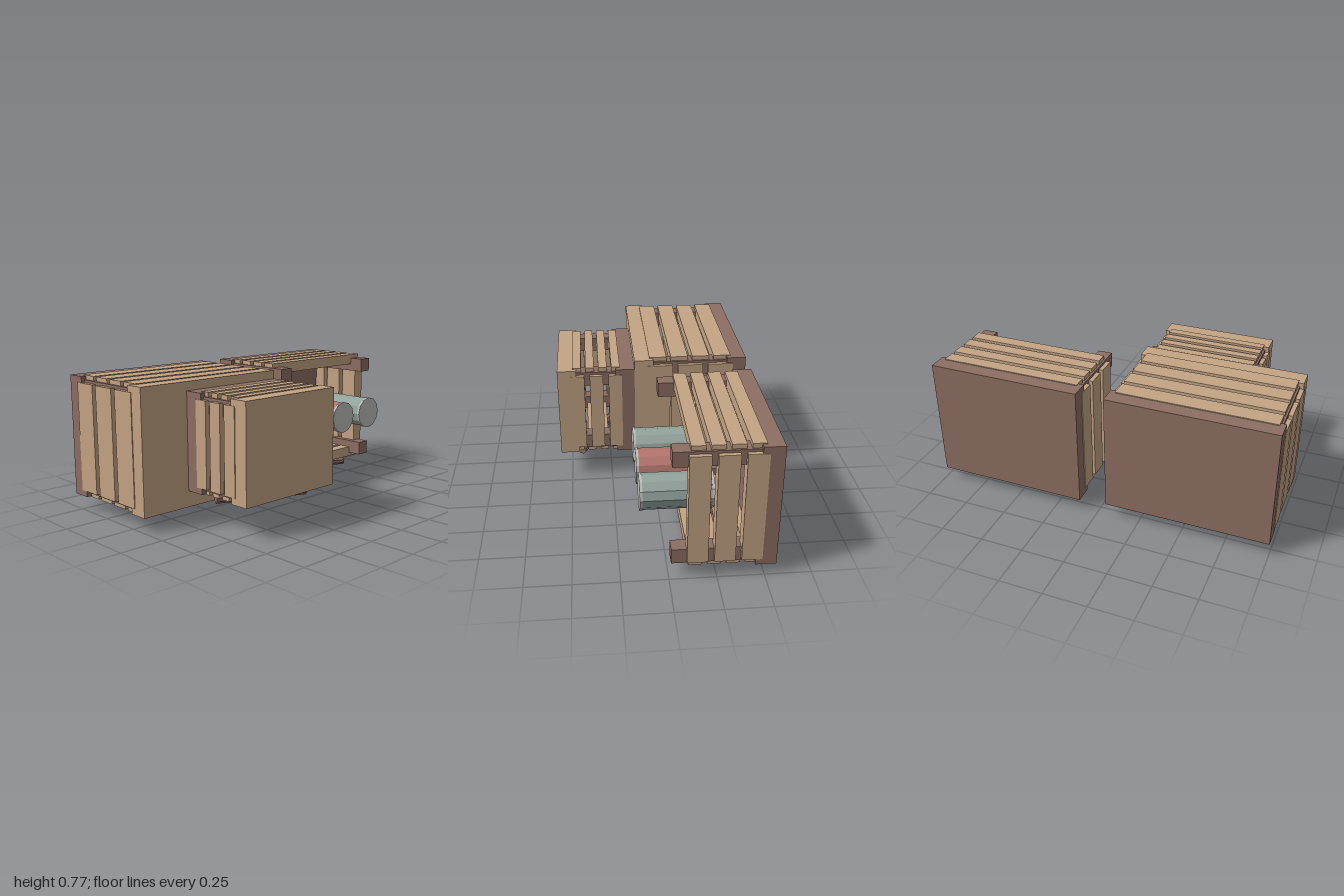
import * as THREE from 'three';

const mat = (name, color) => {
  const m = new THREE.MeshStandardMaterial({ color });
  m.name = name;
  return m;
};

export function createModel() {
  const lightWood = mat('light wood', 0xc4a484);
  const darkWood = mat('dark wood', 0x8d6e63);
  const greenPaint = mat('grey green paint', 0x94a39d);
  const redPaint = mat('faded red paint', 0xb5766d);
  const metal = mat('can metal', 0xbdbfbb);
  for (const m of [greenPaint, redPaint, metal, darkWood]) m.flatShading = true;

  const model = new THREE.Group();
  model.name = 'crates';

  const add = (parent, name, geometry, material, x, y, z) => {
    const mesh = new THREE.Mesh(geometry, material);
    mesh.name = name;
    mesh.position.set(x, y, z);
    parent.add(mesh);
    return mesh;
  };

  // Box given by its centre in x and y and its range in z
  const slab = (parent, name, material, x, y, w, h, z0, z1) =>
    add(parent, name, new THREE.BoxGeometry(w, h, z1 - z0), material, x, y, (z0 + z1) / 2);

  // Evenly spaced slat ranges along z
  const ranges = (z0, z1, count, gap) => {
    const w = (z1 - z0 - gap * (count - 1)) / count;
    return Array.from({ length: count }, (_, i) => [z0 + i * (w + gap), z0 + i * (w + gap) + w]);
  };

  // Slatted crate lying on its side, base board at the back
  const crate = (name, cx, cy, W, H, zBack, zFront, closed) => {
    const g = new THREE.Group();
    g.name = name;
    g.position.set(cx, cy, 0);
    model.add(g);
    const board = 0.112, post = 0.085, inset = 0.02;
    slab(g, 'baseBoard', darkWood, 0, 0, W, H, zBack, zBack + board);
    if (closed) slab(g, 'lid', lightWood, 0, 0, W, H, zFront - board, zFront);

    // Corner posts, stopping inside the lid when there is one
    const postEnd = closed ? zFront - 0.02 : zFront;
    for (const sx of [-1, 1]) for (const sy of [-1, 1]) {
      slab(g, 'cornerPost', darkWood, sx * (W / 2 - inset - post / 2), sy * (H / 2 - inset - post / 2),
        post, post, zBack + 0.05, postEnd);
    }

    // Four slats on top and bottom, three on each side
    const z0 = zBack + 0.076, z1 = zFront - 0.08;
    for (const s of [-1, 1]) {
      for (const [a, b] of ranges(z0 + 0.01, z1 - 0.01, 4, 0.026)) {
        slab(g, s > 0 ? 'topSlat' : 'bottomSlat', lightWood, 0, s * (H / 2 + 0.005 - 0.0325), W - 0.062, 0.065, a, b);
      }
      for (const [a, b] of ranges(z0, z1, 3, 0.032)) {
        slab(g, s > 0 ? 'leftSlat' : 'rightSlat', lightWood, s * (W / 2 + 0.004 - 0.0375), 0, 0.075, H - 0.07, a, b);
      }
    }
  };

  crate('largeCrate', -0.5275, 0.427, 0.945, 0.688, -0.56, 0.103, true);
  crate('openCrate', 0.551, 0.417, 0.89, 0.702, -0.56, -0.012, false);
  crate('smallCrate', -0.377, 0.447, 0.655, 0.547, 0.103, 0.56, true);

  // Round stick lying under each crate
  const stick = (x0, z0, x1, z1, y) => {
    const a = new THREE.Vector3(x0, y, z0), d = new THREE.Vector3(x1, y, z1).sub(a);
    const mesh = add(model, 'stick', new THREE.CylinderGeometry(0.027, 0.027, d.length(), 8), darkWood,
      (x0 + x1) / 2, y, (z0 + z1) / 2);
    mesh.quaternion.setFromUnitVectors(new THREE.Vector3(0, 1, 0), d.normalize());
  };
  stick(-0.868, -0.44, -0.193, -0.025, 0.05);
  stick(0.232, -0.44, 0.872, -0.14, 0.027);
  stick(-0.615, 0.22, -0.137, 0.435, 0.135);

  // Cans standing in the open crate
  const can = (x, paint) => {
    const g = new THREE.Group();
    g.name = 'can';
    g.position.set(x, 0.415, 0);
    g.rotation.x = Math.PI / 2;
    model.add(g);
    const part = (name, material, r, z0, z1) =>
      add(g, name, new THREE.CylinderGeometry(r, r, z1 - z0, 12), material, 0, (z0 + z1) / 2, 0);
    part('canBody', paint, 0.096, -0.235, 0.13);
    part('canLid', metal, 0.1, 0.125, 0.14);
    part('canBottom', metal, 0.1, -0.245, -0.23);
  };
  can(0.307, greenPaint);
  can(0.537, redPaint);
  can(0.79, greenPaint);

  return model;
}
